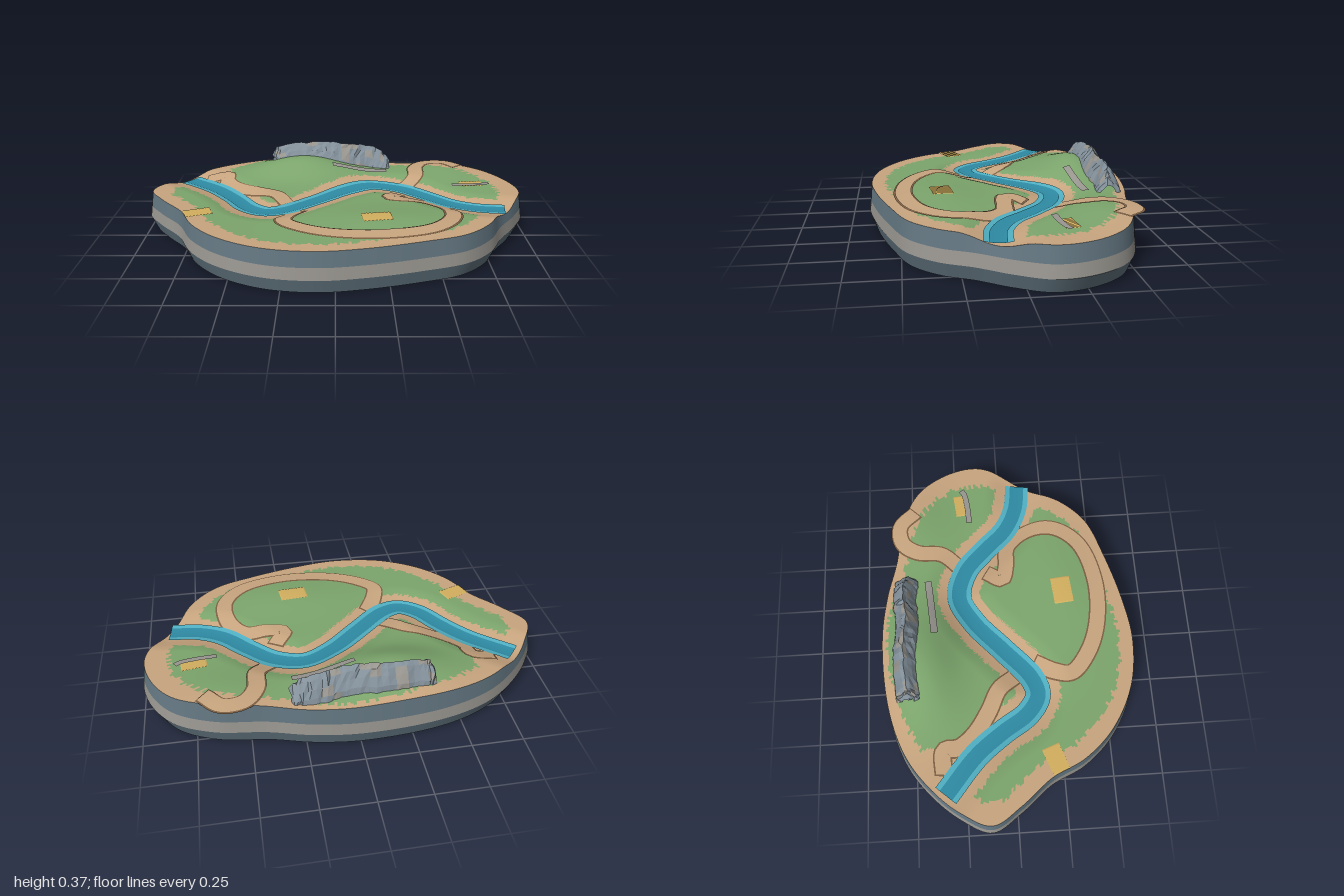
import * as THREE from 'three';

const mat = (name, color, extra = {}) => new THREE.MeshStandardMaterial({ name, color, ...extra });
const V = ([x, z]) => new THREE.Vector3(x, 0, z);
const curve = (pts, closed = false) => new THREE.CatmullRomCurve3(pts.map(V), closed);
const hash = (a, b) => { const s = Math.sin(a * 12.9898 + b * 78.233) * 43758.5453; return s - Math.floor(s); };
const smooth = THREE.MathUtils.smoothstep;

// Island outline, seen from above (x, z)
const outline = curve([
  [-0.998, -0.13], [-0.914, 0.016], [-0.786, 0.176], [-0.70, 0.35], [-0.556, 0.505], [-0.34, 0.62],
  [-0.09, 0.657], [0.14, 0.627], [0.41, 0.555], [0.62, 0.475], [0.75, 0.35], [0.83, 0.20],
  [0.93, 0.05], [1.0, -0.11], [0.97, -0.28], [0.86, -0.44], [0.67, -0.535], [0.43, -0.575],
  [0.22, -0.63], [-0.02, -0.657], [-0.40, -0.625], [-0.64, -0.545], [-0.80, -0.43], [-0.93, -0.28]], true);
const N = 340;
const rim = outline.getSpacedPoints(N).slice(0, N);
const TOP = 0.978;

// River centre line
const river = curve([
  [-0.82, -0.345], [-0.636, -0.187], [-0.53, -0.053], [-0.44, 0.08], [-0.35, 0.135], [-0.26, 0.11],
  [-0.10, -0.027], [0.06, -0.17], [0.20, -0.24], [0.35, -0.20], [0.47, -0.096], [0.594, 0.027],
  [0.717, 0.086], [0.86, 0.107]]);
const riverPts = river.getSpacedPoints(150);
const riverDist = (x, z) => Math.sqrt(riverPts.reduce((m, p) => Math.min(m, (p.x - x) ** 2 + (p.z - z) ** 2), 9));

// Ground height: hills minus the river bed
const bump = (x, z, cx, cz, sx, sz) => Math.exp(-0.5 * (((x - cx) / sx) ** 2 + ((z - cz) / sz) ** 2));
const height = (x, z) => 0.207
  + 0.092 * bump(x, z, -0.18, -0.43, 0.21, 0.12)
  + 0.026 * bump(x, z, 0.6, -0.45, 0.17, 0.13)
  + 0.022 * bump(x, z, 0.25, 0.3, 0.24, 0.13)
  - 0.033 * (1 - smooth(riverDist(x, z), 0.01, 0.18));

// Grid surface; an optional classifier sorts its cells into material groups
function grid(nu, nv, point, closed = false, kind = () => 0) {
  const pos = [], parts = [[], []], cols = closed ? nu : nu + 1;
  for (let i = 0; i < cols; i++) for (let j = 0; j <= nv; j++) pos.push(...point(i, j));
  for (let i = 0; i < nu; i++) for (let j = 0; j < nv; j++) {
    const a = i * (nv + 1) + j, c = ((i + 1) % cols) * (nv + 1) + j;
    parts[kind(i, j)].push(a, a + 1, c, a + 1, c + 1, c);
  }
  const g = new THREE.BufferGeometry();
  g.setAttribute('position', new THREE.Float32BufferAttribute(pos, 3));
  g.setIndex([...parts[0], ...parts[1]]);
  g.addGroup(0, parts[0].length, 0);
  g.addGroup(parts[0].length, parts[1].length, 1);
  g.computeVertexNormals();
  return g;
}

// Strip laid over the ground along a curve, between two side offsets
function ribbon(path, from, to, lift, extend = 0) {
  const n = Math.ceil(path.getLength() / 0.015), across = 8;
  return grid(n, across, (i, j) => {
    const p = path.getPointAt(i / n), t = path.getTangentAt(i / n);
    const o = from + (to - from) * j / across, e = i === 0 ? -extend : i === n ? extend : 0;
    const x = p.x - t.z * o + t.x * e, z = p.z + t.x * o + t.z * e;
    return [x, height(x, z) + lift, z];
  });
}

export function createModel() {
  const model = new THREE.Group();
  const two = { side: THREE.DoubleSide };
  const slate = mat('slate', 0x647782), band = mat('stratum', 0x999690, two), under = mat('underside', 0x566368);
  const grass = mat('grass', 0x7ca56c), sand = mat('sand', 0xc8a57f, two), trim = mat('pathEdge', 0x7c5f43, two);
  const shallow = mat('shallowWater', 0x50b0c3, two), deep = mat('deepWater', 0x2e8ba4, two);
  const straw = mat('straw', 0xd3b05f, two), stone = mat('stone', 0x84919b, two);
  const add = (name, geo, material, parent = model) => {
    const m = new THREE.Mesh(geo, material);
    m.name = name;
    parent.add(m);
  };
  const group = (name) => { const g = new THREE.Group(); g.name = name; model.add(g); return g; };

  // Terrain: grass inland, sand along the rim and the river
  const R = 76;
  const isSand = (i, j) => {
    const t = (j + 0.5) / R, x = rim[i].x * t * TOP, z = rim[i].z * t * TOP;
    const limit = 0.87 + 0.035 * hash(i, 3) + 0.075 * bump(x, z, 0, -0.6, 0.28, 0.2);
    const corner = bump(x, z, -0.72, -0.42, 0.11, 0.1) > 0.5;
    return corner || t > limit || riverDist(x, z) < 0.104 + 0.014 * hash(i, 8) ? 1 : 0;
  };
  add('terrain', grid(N, R, (i, j) => {
    const x = rim[i].x * TOP * j / R, z = rim[i].z * TOP * j / R;
    return [x, height(x, z), z];
  }, true, isSand), [grass, sand]);

  // Island sides in three layers, and the flat underside
  const base = group('islandBase');
  const wall = (name, s0, y0, s1, y1, material) => add(name, grid(N, 1, (i, j) => {
    const s = j ? s1 : s0, x = rim[i].x * s, z = rim[i].z * s;
    return [x, j ? y1 : y0 ?? height(x, z), z];
  }, true), material, base);
  wall('upperLayer', TOP, null, 0.99, 0.13, slate);
  wall('middleLayer', 0.99, 0.13, 1, 0.07, band);
  wall('lowerLayer', 1, 0.07, 0.965, 0, slate);
  wall('underside', 0.965, 0, 0, 0, under);

  // River
  const water = group('river');
  add('riverShallows', ribbon(river, -0.064, 0.064, 0.008), shallow, water);
  add('riverChannel', ribbon(river, -0.038, 0.038, 0.011), deep, water);

  // Paths with dark edges
  const paths = {
    meadowPath: [[0.335, -0.09], [0.285, -0.01], [0.36, 0.015], [0.48, 0.03], [0.56, 0.13], [0.57, 0.28], [0.47, 0.41],
      [0.245, 0.48], [0.005, 0.465], [-0.155, 0.40], [-0.25, 0.31], [-0.235, 0.23], [-0.18, 0.13]],
    backPath: [[0.37, -0.22], [0.445, -0.32], [0.46, -0.45], [0.52, -0.53], [0.62, -0.54], [0.70, -0.46]],
    riversidePath: [[-0.72, -0.35], [-0.61, -0.345], [-0.595, -0.27], [-0.53, -0.19], [-0.42, -0.115], [-0.315, -0.06], [-0.25, 0.02]],
  };
  for (const [name, pts] of Object.entries(paths)) {
    const g = group(name), c = curve(pts);
    add(name + 'Edge', ribbon(c, -0.046, 0.046, 0.004, 0.007), trim, g);
    add(name + 'Surface', ribbon(c, -0.038, 0.038, 0.007), sand, g);
  }

  // Furrowed crop fields: centre x, z, length, width, turn
  [[0.2, 0.30, 0.145, 0.10, 0.1], [-0.68, 0.197, 0.135, 0.09, 0.36], [0.74, -0.21, 0.125, 0.065, 0.12]]
    .forEach(([cx, cz, l, w, a], k) => add('field' + (k + 1), grid(16, 6, (i, j) => {
      const u = (i / 16 - 0.5) * l, v = (j / 6 - 0.5) * w;
      const x = cx + u * Math.cos(a) + v * Math.sin(a), z = cz - u * Math.sin(a) + v * Math.cos(a);
      return [x, height(x, z) + (i % 2 ? 0.007 : 0.003), z];
    }), straw));

  // Low stone walls
  add('hillWall', ribbon(curve([[-0.015, -0.37], [0.14, -0.385], [0.29, -0.40]]), -0.018, 0.018, 0.01), band);
  add('eastWall', ribbon(curve([[0.63, -0.168], [0.73, -0.175], [0.81, -0.19], [0.83, -0.205]]), -0.015, 0.015, 0.014), band);

  // Rocky crag: weathered cross-sections (z offset, share of height) along x
  const section = [[-0.07, -0.1], [-0.058, 0.3], [-0.038, 0.58], [-0.018, 0.85], [0.002, 1], [0.018, 0.78], [0.036, 0.5], [0.054, 0.2], [0.07, -0.2]];
  const crest = curve([[0, 0.315], [0.06, 0.342], [0.25, 0.358], [0.45, 0.366], [0.6, 0.355], [0.75, 0.345], [0.9, 0.325], [1, 0.27]]);
  const S = 32;
  const crag = grid(S, section.length - 1, (i, j) => {
    const u = i / S, ridge = crest.getPoint(u), end = i === 0 || i === S ? 0.75 : 1;
    const x = -0.36 + 0.67 * ridge.x + (hash(i, j) - 0.5) * 0.012;
    const mid = -0.515 + 0.008 * Math.sin(u * 14);
    const z = mid + section[j][0] * end + (hash(j, i + 7) - 0.5) * 0.011;
    const foot = height(x, mid + section[j][0]) - 0.012;
    const y = foot + (ridge.z - foot) * section[j][1] * end + (hash(i + 3, j) - 0.5) * 0.01;
    return [x, y, z];
  }, false, (i, j) => (hash(i >> 1, j + 40) < 0.25 ? 1 : 0)).toNonIndexed();
  crag.computeVertexNormals();
  add('crag', crag, [stone, band]);

  return model;
}
